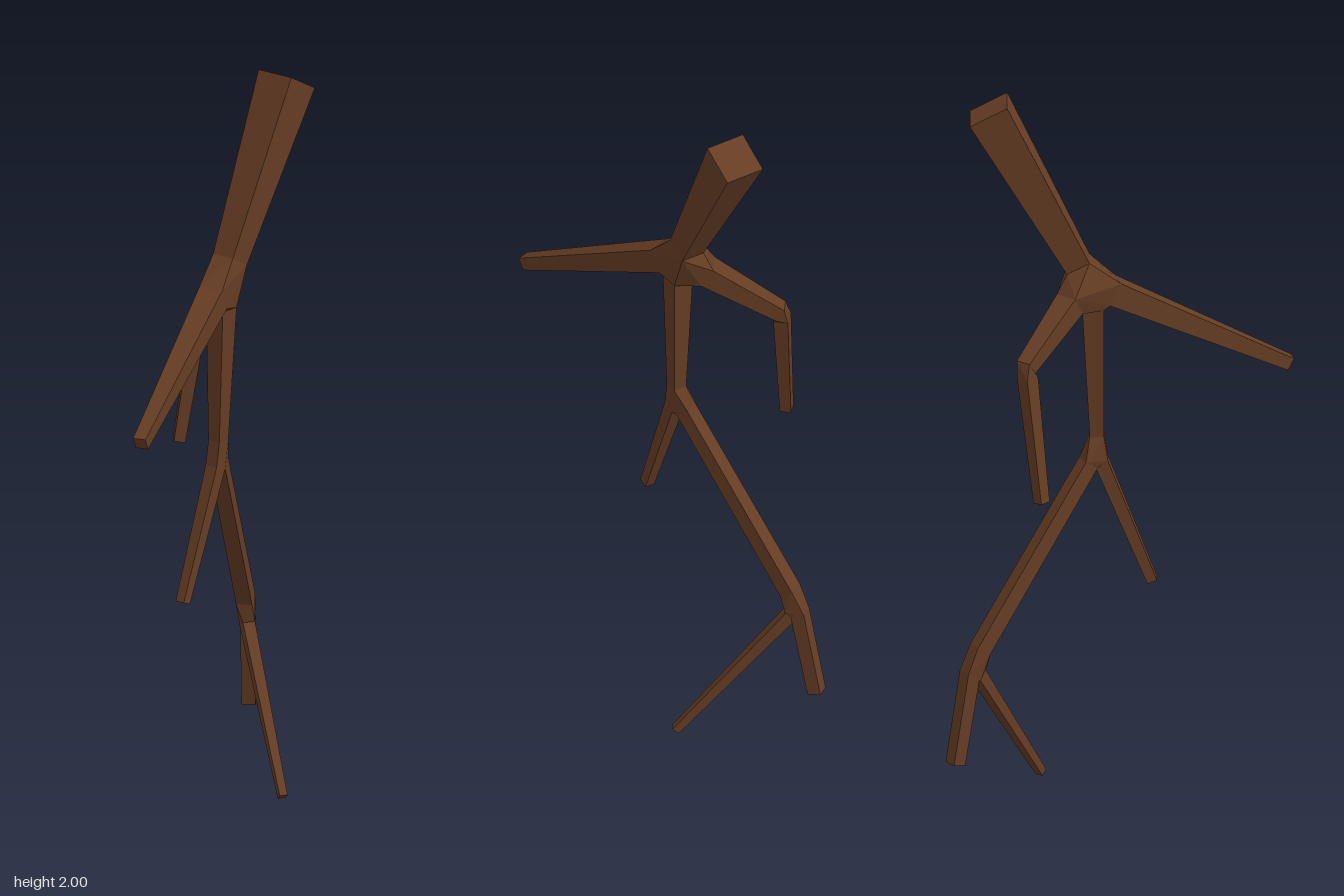
import * as THREE from 'three';
import { ConvexGeometry } from 'three/addons/geometries/ConvexGeometry.js';

const V = (a) => new THREE.Vector3(...a);

// Four corners of a square section of the given width, square to dir.
function ring(center, width, dir, hint) {
  const side = new THREE.Vector3().crossVectors(dir, hint).normalize();
  const up = new THREE.Vector3().crossVectors(side, dir).normalize();
  return [[1, 1], [-1, 1], [-1, -1], [1, -1]].map(([a, b]) =>
    center.clone().addScaledVector(side, a * width / 2).addScaledVector(up, b * width / 2));
}

export function createModel() {
  const group = new THREE.Group();
  const bark = new THREE.MeshStandardMaterial({ color: 0x663d24 });
  bark.name = 'bark brown';

  const hull = (name, points) => {
    const mesh = new THREE.Mesh(new ConvexGeometry(points), bark);
    mesh.name = name;
    group.add(mesh);
  };

  // Tapered square branch; returns its two end sections for the joints.
  const branch = (name, from, w0, to, w1, hint = [0, 1, 0]) => {
    const a = V(from), b = V(to);
    const dir = b.clone().sub(a).normalize();
    const start = ring(a, w0, dir, V(hint));
    const end = ring(b, w1, dir, V(hint));
    hull(name, [...start, ...end]);
    return { start, end };
  };

  // Upper part: thick trunk end, two side branches and the stem
  const trunk = branch('trunk', [0.11, 1.525, 0.05], 0.068, [0.35, 1.973, 0.048], 0.113);
  const rightBranch = branch('rightBranch', [0.018, 1.442, 0.067], 0.068, [-0.453, 1.178, 0.206], 0.036);
  const leftBranch = branch('leftBranch', [0.132, 1.432, -0.005], 0.062, [0.248, 1.312, -0.16], 0.043);
  const leftTwig = branch('leftTwig', [0.243, 1.285, -0.168], 0.04, [0.205, 0.94, -0.206], 0.031);
  const stem = branch('stem', [0.07, 1.4, 0.053], 0.058, [0.06, 1.03, 0.051], 0.038, [0, 0, 1]);

  // Lower part: short root, long root and its fork
  const shortRoot = branch('shortRoot', [0.048, 0.955, 0.05], 0.038, [-0.088, 0.609, 0.05], 0.028);
  const longRoot = branch('longRoot', [0.083, 0.955, 0.035], 0.042, [0.37, 0.475, -0.112], 0.044);
  const forkOuter = branch('forkOuter', [0.397, 0.415, -0.126], 0.04, [0.436, 0.16, -0.155], 0.038);
  const forkInner = branch('forkInner', [0.376, 0.4, -0.11], 0.034, [0.211, 0.01, 0.149], 0.022);

  // Faceted joints between the branches
  hull('upperJoint', [...trunk.start, ...rightBranch.start, ...leftBranch.start, ...stem.start]);
  hull('elbowJoint', [...leftBranch.end, ...leftTwig.start]);
  hull('lowerJoint', [...stem.end, ...shortRoot.start, ...longRoot.start]);
  hull('forkJoint', [...longRoot.end, ...forkOuter.start, ...forkInner.start]);

  return group;
}
